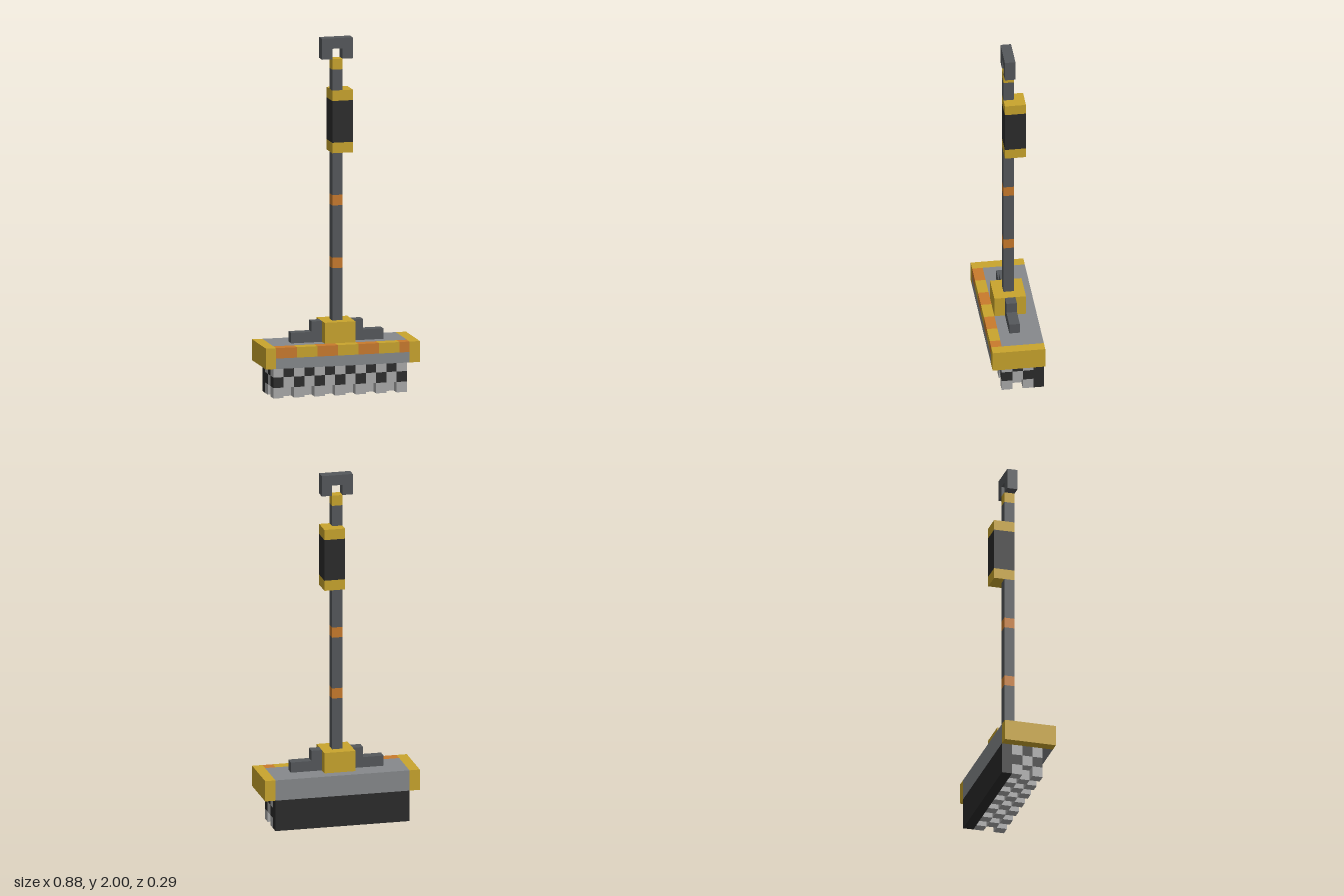
import * as THREE from 'three';
import { mergeGeometries } from 'three/addons/utils/BufferGeometryUtils.js';

const U = 1 / 17; // one block

const paint = (name, color) => {
  const m = new THREE.MeshStandardMaterial({ color });
  m.name = name;
  return m;
};

// Box covering whole blocks: x and z cells are centred on 0, y cells start at the ground.
function cells(x0, x1, y0, y1, z0, z1) {
  const g = new THREE.BoxGeometry((x1 - x0 + 1) * U, (y1 - y0 + 1) * U, (z1 - z0 + 1) * U);
  g.translate(((x0 + x1) / 2) * U, ((y0 + y1 + 1) / 2) * U, ((z0 + z1) / 2) * U);
  return g;
}

export function createModel() {
  const steel = paint('steel grey', 0x86898c);
  const iron = paint('dark iron', 0x55585b);
  const yellow = paint('yellow', 0xc9a52d);
  const orange = paint('orange', 0xc97b2c);
  const black = paint('black rubber', 0x2b2b2b);
  const pale = paint('pale bristle', 0xaaaaaa);

  const model = new THREE.Group();
  model.name = 'pushBroom';
  const add = (name, material, ...boxes) => {
    const mesh = new THREE.Mesh(mergeGeometries(boxes), material);
    mesh.name = name;
    model.add(mesh);
  };

  // Bristles: a 3D checker, with the bottom layer leaving out the dark cells
  const light = [], dark = [];
  for (let x = -6; x <= 6; x++)
    for (let y = 0; y <= 2; y++)
      for (let z = -1; z <= 1; z++) {
        const isLight = (x + y + z) % 2 !== 0;
        if (isLight) light.push(cells(x, x, y, y, z, z));
        else if (y > 0) dark.push(cells(x, x, y, y, z, z));
      }
  add('lightBristles', pale, ...light);
  add('darkBristles', black, ...dark);
  add('rearScraper', black, cells(-6, 6, 0, 2, -2, -2));

  // Head with end caps and a striped front edge
  add('headDeck', steel, cells(-6, 6, 3, 4, -2, 1), cells(-6, 6, 3, 3, 2, 2));
  add('endCaps', yellow, cells(-7, -7, 3, 4, -2, 2), cells(7, 7, 3, 4, -2, 2));
  for (let i = 0; i < 7; i++) {
    const x = -6 + 2 * i;
    add('frontStripe', i % 2 ? yellow : orange, cells(x, Math.min(x + 1, 6), 4, 4, 2, 2));
  }

  // Socket and stepped braces on both sides
  add('socket', yellow, cells(-1, 1, 5, 6, -1, 1));
  for (const s of [-1, 1]) {
    const side = (a, b, y) => cells(Math.min(s * a, s * b), Math.max(s * a, s * b), y, y, 0, 0);
    add('brace', iron, side(2, 4, 5), side(2, 2, 6));
  }

  // Pole, listed from bottom to top as [first block, last block, material]
  const pole = [[7, 11, iron], [12, 12, orange], [13, 17, iron], [18, 18, orange],
    [19, 22, iron], [29, 30, iron], [31, 31, yellow]];
  for (const [y0, y1, m] of pole) add(m === iron ? 'pole' : 'poleBand', m, cells(0, 0, y0, y1, 0, 0));

  // Offset grip with collars
  add('grip', black, cells(0, 1, 24, 27, -1, 0));
  add('gripCollars', yellow, cells(0, 1, 23, 23, -1, 0), cells(0, 1, 28, 28, -1, 0));

  // Hanging loop
  add('hangingLoop', iron, cells(-1, 1, 33, 33, 0, 0), cells(-1, -1, 32, 32, 0, 0), cells(1, 1, 32, 32, 0, 0));

  return model;
}
